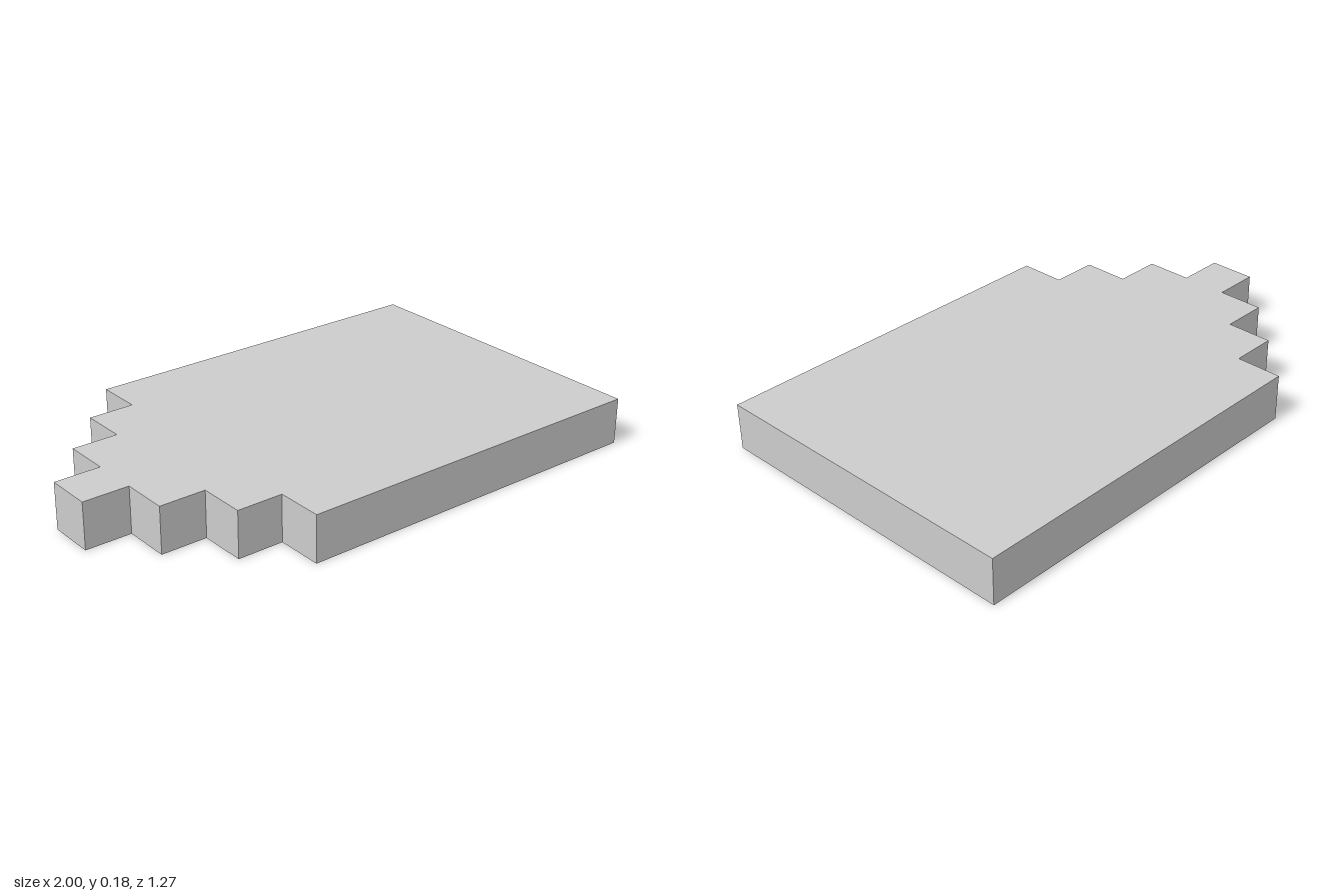
import * as THREE from 'three';

export function createModel() {
  const model = new THREE.Group();
  model.name = 'steppedPlate';
  const lightGrey = new THREE.MeshStandardMaterial({ color: 0xcccccc });
  lightGrey.name = 'lightGrey';

  // Everything lies on a square grid: 11 cells long, 7 wide, 1 thick
  const cell = 2 / 11;
  const steps = 3;

  // One side of the stepped tip, from the point out to the full width
  const side = [];
  for (let i = 0; i <= steps; i++) {
    const half = (i + 0.5) * cell;
    side.push([-1 + i * cell, half], [-1 + (i + 1) * cell, half]);
  }
  side[side.length - 1][0] = 1; // the last step runs to the straight end

  // Mirror the side to close the outline (counter-clockwise)
  const outline = [
    ...side.map(([x, y]) => new THREE.Vector2(x, -y)),
    ...side.reverse().map(([x, y]) => new THREE.Vector2(x, y)),
  ];

  const geometry = new THREE.ExtrudeGeometry(new THREE.Shape(outline), {
    depth: cell,
    bevelEnabled: false,
  });
  geometry.rotateX(-Math.PI / 2); // lay flat on y = 0

  const plate = new THREE.Mesh(geometry, lightGrey);
  plate.name = 'plate';
  model.add(plate);
  return model;
}
